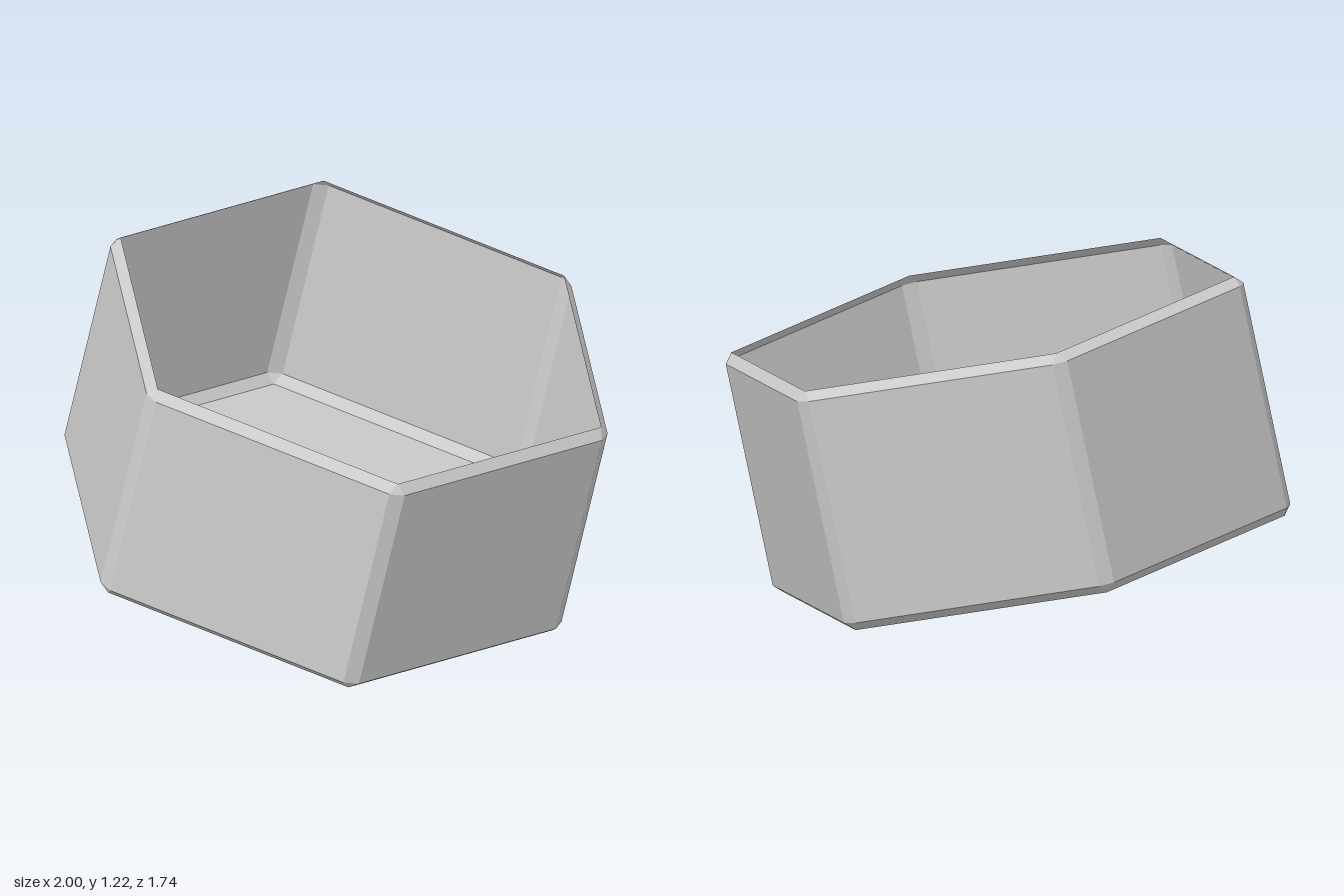
import * as THREE from 'three';

const R = 0.956;      // hexagon corner radius
const HALF = 0.435;   // half height
const BEVEL = 0.032;  // bevel size on every edge

export function createModel() {
  const gray = new THREE.MeshStandardMaterial({ color: 0xcccccc, side: THREE.DoubleSide });
  gray.name = 'plain gray';

  const cup = new THREE.Group();
  cup.name = 'hexagonalCup';

  // point on the hexagon of radius r at corner i, height y
  const corner = (i, r, y) =>
    new THREE.Vector3(r * Math.cos(i * Math.PI / 3), y, r * Math.sin(i * Math.PI / 3));
  // corner i moved by the bevel size towards its neighbour (step = -1 or 1)
  const cut = (i, step, y) => corner(i, R, y).lerp(corner(i + step, R, y), BEVEL / R);
  const cap = (i, y) => corner(i, R - BEVEL * 2 / Math.sqrt(3), y);

  const lists = { sideWalls: [], cornerBevels: [], rimBevel: [], floorBevel: [], floor: [] };
  const tri = (list, ...p) => list.push(...p);
  const quad = (list, a, b, c, d) => list.push(a, b, c, a, c, d);
  const top = HALF - BEVEL, low = -top;

  for (let i = 0; i < 6; i++) {
    const n = i + 1;
    // flat wall panel and the narrow strip at its corner
    quad(lists.sideWalls, cut(i, 1, low), cut(i, 1, top), cut(n, -1, top), cut(n, -1, low));
    quad(lists.cornerBevels, cut(i, -1, low), cut(i, -1, top), cut(i, 1, top), cut(i, 1, low));
    // inward slope around the open rim
    quad(lists.rimBevel, cut(i, 1, top), cap(i, HALF), cap(n, HALF), cut(n, -1, top));
    tri(lists.rimBevel, cut(i, -1, top), cap(i, HALF), cut(i, 1, top));
    // matching slope around the floor
    quad(lists.floorBevel, cap(i, -HALF), cut(i, 1, low), cut(n, -1, low), cap(n, -HALF));
    tri(lists.floorBevel, cap(i, -HALF), cut(i, -1, low), cut(i, 1, low));
    // floor, facing down
    tri(lists.floor, new THREE.Vector3(0, -HALF, 0), cap(i, -HALF), cap(n, -HALF));
  }

  for (const [name, points] of Object.entries(lists)) {
    const geometry = new THREE.BufferGeometry().setFromPoints(points);
    geometry.computeVertexNormals();
    const mesh = new THREE.Mesh(geometry, gray);
    mesh.name = name;
    cup.add(mesh);
  }

  // lean the cup over and turn it slightly
  const up = new THREE.Vector3(0.207, 1, -0.017).normalize();
  const side = new THREE.Vector3(0.91, -0.187, 0.075);
  side.addScaledVector(up, -side.dot(up)).normalize();
  const front = new THREE.Vector3().crossVectors(side, up);
  cup.quaternion.setFromRotationMatrix(new THREE.Matrix4().makeBasis(side, up, front));
  cup.position.y = 0.61;

  const model = new THREE.Group();
  model.name = 'tiltedCup';
  model.add(cup);
  return model;
}
